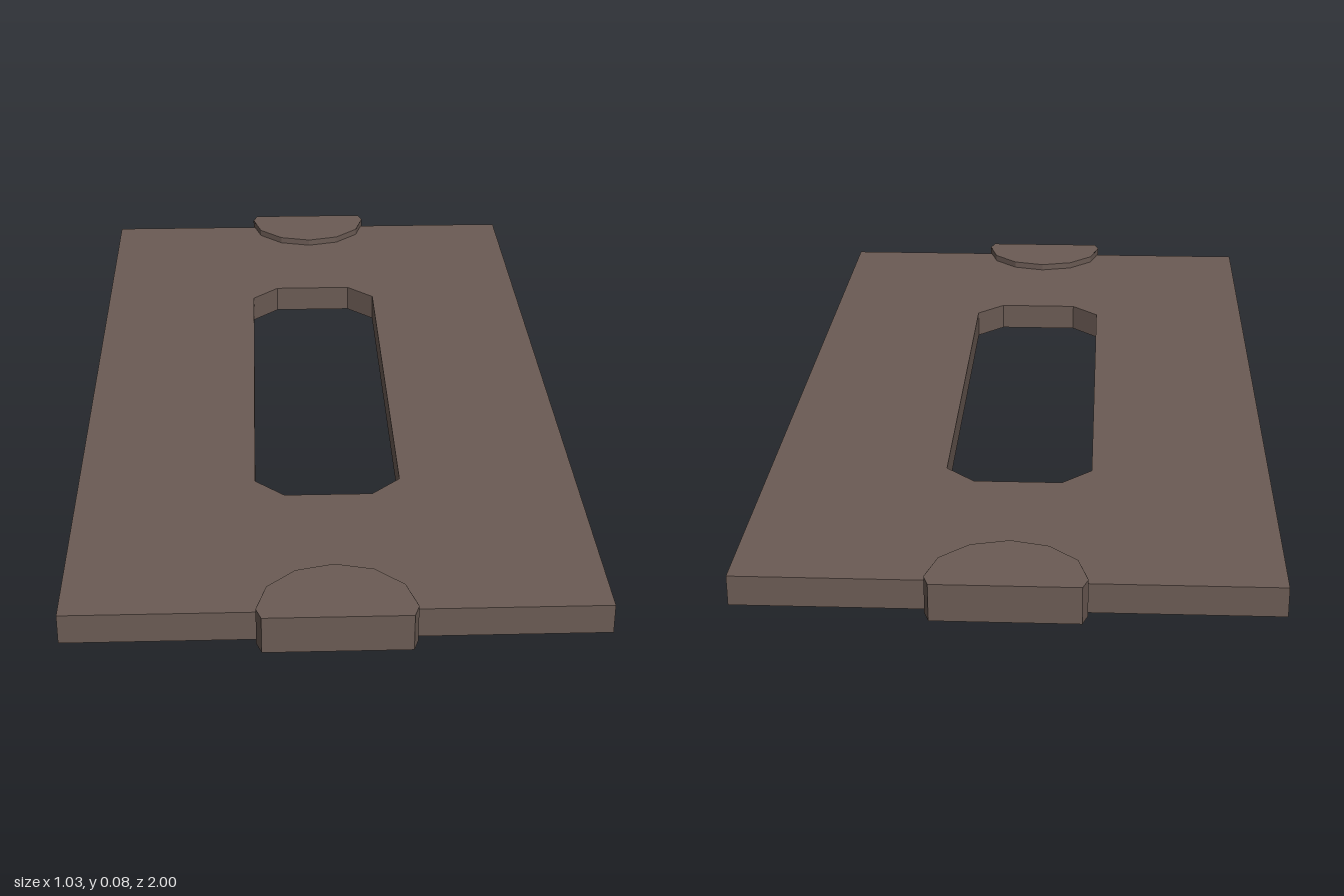
import * as THREE from 'three';

const brown = new THREE.MeshStandardMaterial({ name: 'brown', color: 0x6b5b54, side: THREE.DoubleSide });
const dark = new THREE.MeshStandardMaterial({ name: 'dark underside', color: 0x1a1615, side: THREE.DoubleSide });

const PLATE_TOP = 0.06, TAB_TOP = 0.075, HALF_X = 0.515, HALF_Z = 0.957;

// Flat-shaded upright wall along a list of [x, z] points
function wall(points, y0, y1, closed = false) {
  const pos = [];
  const count = closed ? points.length : points.length - 1;
  for (let i = 0; i < count; i++) {
    const [ax, az] = points[i];
    const [bx, bz] = points[(i + 1) % points.length];
    pos.push(ax, y0, az, bx, y0, bz, bx, y1, bz);
    pos.push(ax, y0, az, bx, y1, bz, ax, y1, az);
  }
  const geometry = new THREE.BufferGeometry();
  geometry.setAttribute('position', new THREE.Float32BufferAttribute(pos, 3));
  geometry.computeVertexNormals();
  return geometry;
}

// Level sheet with an [x, z] outline and an optional hole
function sheet(outline, y, hole) {
  const toVectors = (pts) => pts.map(([x, z]) => new THREE.Vector2(x, -z));
  const shape = new THREE.Shape(toVectors(outline));
  if (hole) shape.holes.push(new THREE.Path(toVectors(hole)));
  return new THREE.ShapeGeometry(shape).rotateX(-Math.PI / 2).translate(0, y, 0);
}

function add(parent, name, geometry, material) {
  const mesh = new THREE.Mesh(geometry, material);
  mesh.name = name;
  parent.add(mesh);
}

// Round end tab: a twelve-sided disc cut straight at its outer edge
function createTab(name) {
  const tab = new THREE.Group();
  tab.name = name;
  const arc = [];
  for (let i = 0; i <= 6; i++) {
    const a = (i * Math.PI) / 6;
    arc.push([0.15 * Math.cos(a), 0.97 - 0.15 * Math.sin(a)]);
  }
  const inner = [[0.147, HALF_Z], ...arc.slice(1, 6), [-0.147, HALF_Z]];
  const rightEnd = [[-0.147, HALF_Z], arc[6], [-0.14, 1]];
  const leftEnd = [[0.14, 1], arc[0], [0.147, HALF_Z]];

  add(tab, 'tabTop', sheet([[0.14, 1], ...arc, [-0.14, 1]], TAB_TOP), brown);
  add(tab, 'tabFace', wall([[-0.14, 1], [0.14, 1]], 0, TAB_TOP), brown);
  add(tab, 'tabRightEnd', wall(rightEnd, 0, TAB_TOP), brown);
  add(tab, 'tabLeftEnd', wall(leftEnd, 0, TAB_TOP), brown);
  add(tab, 'tabRim', wall(inner, PLATE_TOP, TAB_TOP), brown);
  // Dark parts seen only from below
  add(tab, 'tabSkirt', wall(inner, 0, PLATE_TOP), dark);
  add(tab, 'tabUnderside', sheet([[0.14, 1], ...arc, [-0.14, 1]], TAB_TOP - 0.003), dark);
  return tab;
}

export function createModel() {
  const model = new THREE.Group();
  model.name = 'slottedPlate';

  // Hollow plate, open underneath
  const outline = [[-HALF_X, HALF_Z], [HALF_X, HALF_Z], [HALF_X, -HALF_Z], [-HALF_X, -HALF_Z]];
  const slot = [
    [-0.15, 0.47], [-0.15, -0.47], [-0.09, -0.53], [0.09, -0.53],
    [0.15, -0.47], [0.15, 0.47], [0.09, 0.53], [-0.09, 0.53],
  ];
  add(model, 'plateTop', sheet(outline, PLATE_TOP, slot), brown);
  add(model, 'plateSides', wall(outline, 0, PLATE_TOP, true), brown);
  add(model, 'slotSides', wall(slot, 0, PLATE_TOP, true), brown);

  // Matching tabs at both ends
  const backTab = createTab('backTab');
  backTab.rotation.y = Math.PI;
  model.add(createTab('frontTab'), backTab);
  return model;
}
